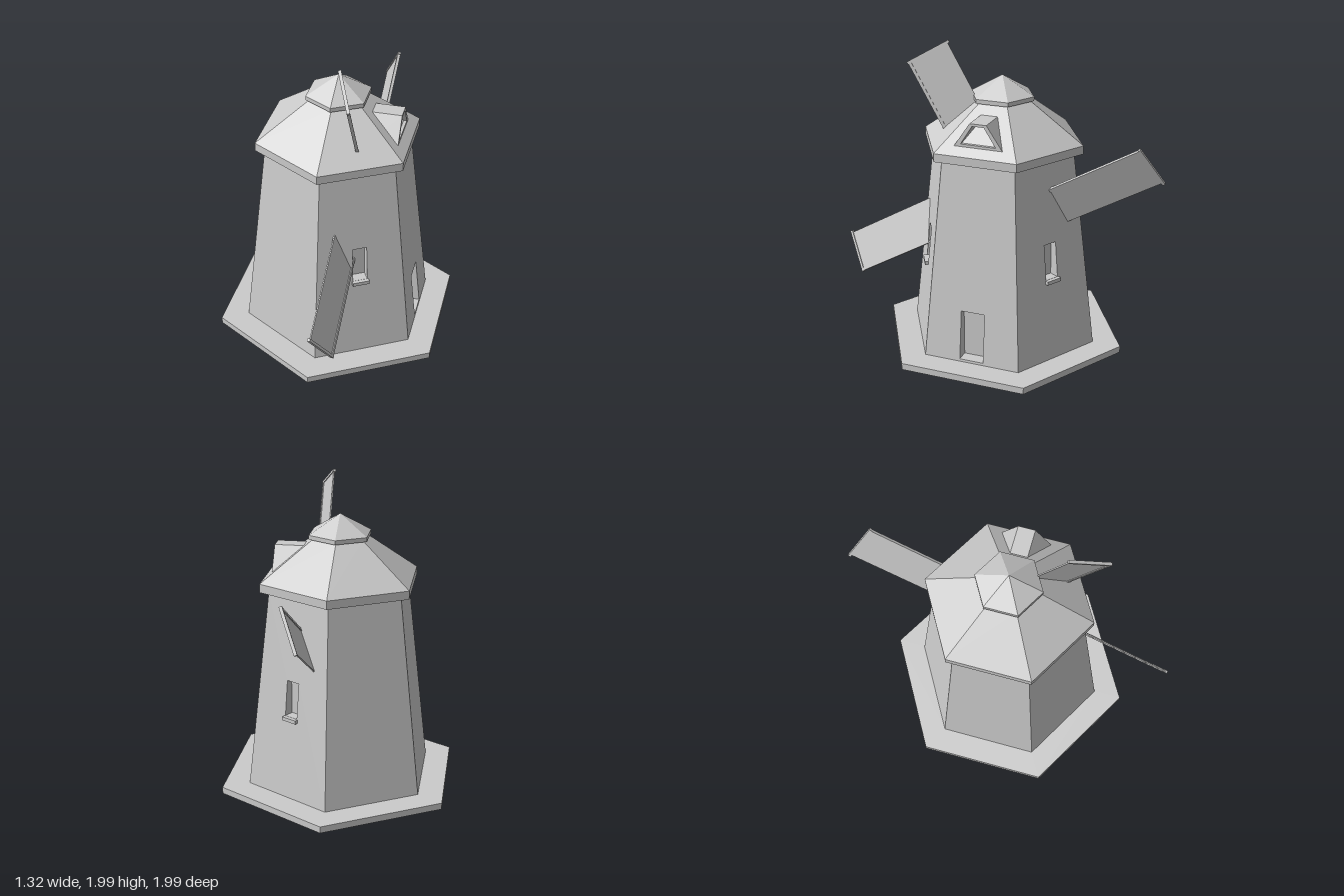
import * as THREE from 'three';

const material = new THREE.MeshStandardMaterial({ color: 0xcccccc, flatShading: true, side: THREE.DoubleSide });

function add(parent, name, geometry, x = 0, y = 0, z = 0) {
  const mesh = new THREE.Mesh(geometry, material);
  mesh.name = name;
  mesh.position.set(x, y, z);
  parent.add(mesh);
  return mesh;
}

// distance from the axis to a sloping tower wall at height y
const wallDistance = (y) => 0.51 - 0.108 * (y - 0.185);

const polygon = (points, Type = THREE.Shape) => new Type(points.map(([x, y]) => new THREE.Vector2(x, y)));

const hexagon = (r) => Array.from({ length: 6 }, (_, i) => {
  const a = i * Math.PI / 3;
  return [r * Math.sin(a), r * Math.cos(a)];
});

const hexSlab = (rTop, rBottom, y0, y1) =>
  new THREE.CylinderGeometry(rTop, rBottom, y1 - y0, 6).translate(0, (y0 + y1) / 2, 0);

// one of the six walls, with an optional rectangular opening
function wallGeometry(opening) {
  const y0 = 0.16, y1 = 1.39;
  const b = wallDistance(y0) / Math.sqrt(3), t = wallDistance(y1) / Math.sqrt(3);
  const shape = polygon([[-b, y0], [b, y0], [t, y1], [-t, y1]]);
  if (opening) {
    const { half, bottom, top } = opening;
    shape.holes.push(polygon([[-half, bottom], [-half, top], [half, top], [half, bottom]], THREE.Path));
  }
  const geometry = new THREE.ShapeGeometry(shape);
  const p = geometry.attributes.position;
  for (let i = 0; i < p.count; i++) p.setZ(i, wallDistance(p.getY(i)));
  geometry.computeVertexNormals();
  return geometry;
}

// box without its front face, whose mouth follows the sloping wall
function recessGeometry({ half, bottom, top, depth }) {
  const geometry = new THREE.BoxGeometry(half * 2, top - bottom, 1);
  geometry.translate(0, (top + bottom) / 2, 0);
  const p = geometry.attributes.position;
  const back = wallDistance(bottom) - depth;
  for (let i = 0; i < p.count; i++) p.setZ(i, p.getZ(i) > 0 ? wallDistance(p.getY(i)) : back);
  const index = Array.from(geometry.index.array);
  index.splice(24, 6);
  geometry.setIndex(index);
  geometry.clearGroups();
  geometry.computeVertexNormals();
  return geometry;
}

function createTower() {
  const tower = new THREE.Group();
  tower.name = 'tower';
  const win = { half: 0.043, bottom: 0.68, top: 0.893, depth: 0.06 };
  const door = { half: 0.073, bottom: 0.2, top: 0.5, depth: 0.075 };
  const openings = [win, door, win];
  for (let i = 0; i < 6; i++) {
    const side = new THREE.Group();
    side.name = 'towerSide';
    side.rotation.y = Math.PI / 6 + i * Math.PI / 3;
    const opening = openings[i];
    add(side, 'wall', wallGeometry(opening));
    if (opening) add(side, opening === door ? 'doorRecess' : 'windowRecess', recessGeometry(opening));
    if (opening === win) {
      add(side, 'windowSill', new THREE.BoxGeometry(0.1, 0.022, 0.05), 0, 0.668, wallDistance(0.668) - 0.004);
    }
    tower.add(side);
  }
  return tower;
}

function createRoof() {
  const roof = new THREE.Group();
  roof.name = 'roof';
  add(roof, 'eaves', hexSlab(0.495, 0.495, 1.382, 1.432));
  add(roof, 'roofSlope', hexSlab(0.165, 0.495, 1.432, 1.667));
  add(roof, 'capRim', hexSlab(0.194, 0.194, 1.665, 1.69));
  add(roof, 'capPeak', hexSlab(0, 0.194, 1.69, 1.802));

  // dormer: trapezoid frame pushed back into the +x roof slope
  const frame = polygon([[-0.145, 1.475], [0.145, 1.475], [0.05, 1.615], [-0.05, 1.615]]);
  frame.holes.push(polygon([[-0.105, 1.49], [-0.035, 1.6], [0.035, 1.6], [0.105, 1.49]], THREE.Path));
  const dormer = add(roof, 'dormer', new THREE.ExtrudeGeometry(frame, { depth: 0.18, bevelEnabled: false }), 0.197);
  dormer.rotation.y = Math.PI / 2;
  return roof;
}

// four pitched sails turning about the x axis at half height
function createSails() {
  const sails = new THREE.Group();
  sails.name = 'sails';
  sails.position.y = 1;
  for (let i = 0; i < 4; i++) {
    const arm = new THREE.Group();
    arm.name = 'sail';
    arm.rotation.x = Math.PI / 6 + i * Math.PI / 2;
    const blade = new THREE.Group();
    blade.name = 'pitchedBlade';
    blade.position.x = 0.175;
    blade.rotation.y = 0.385;
    add(blade, 'spar', new THREE.BoxGeometry(0.018, 1.0, 0.018), 0, 0.505, 0);
    add(blade, 'panel', new THREE.BoxGeometry(0.008, 0.7, 0.245), 0, 0.655, -0.1225);
    add(blade, 'tipBar', new THREE.BoxGeometry(0.018, 0.016, 0.27), 0, 1.004, -0.122);
    arm.add(blade);
    sails.add(arm);
  }
  return sails;
}

export function createModel() {
  const model = new THREE.Group();
  model.name = 'windmill';

  // hexagonal ring platform, open under the tower
  const ring = polygon(hexagon(0.76));
  ring.holes.push(polygon(hexagon(0.589).reverse(), THREE.Path));
  const platform = add(model, 'platform', new THREE.ExtrudeGeometry(ring, { depth: 0.04, bevelEnabled: false }), 0, 0.145);
  platform.rotation.x = -Math.PI / 2;

  model.add(createTower(), createRoof(), createSails());
  return model;
}
